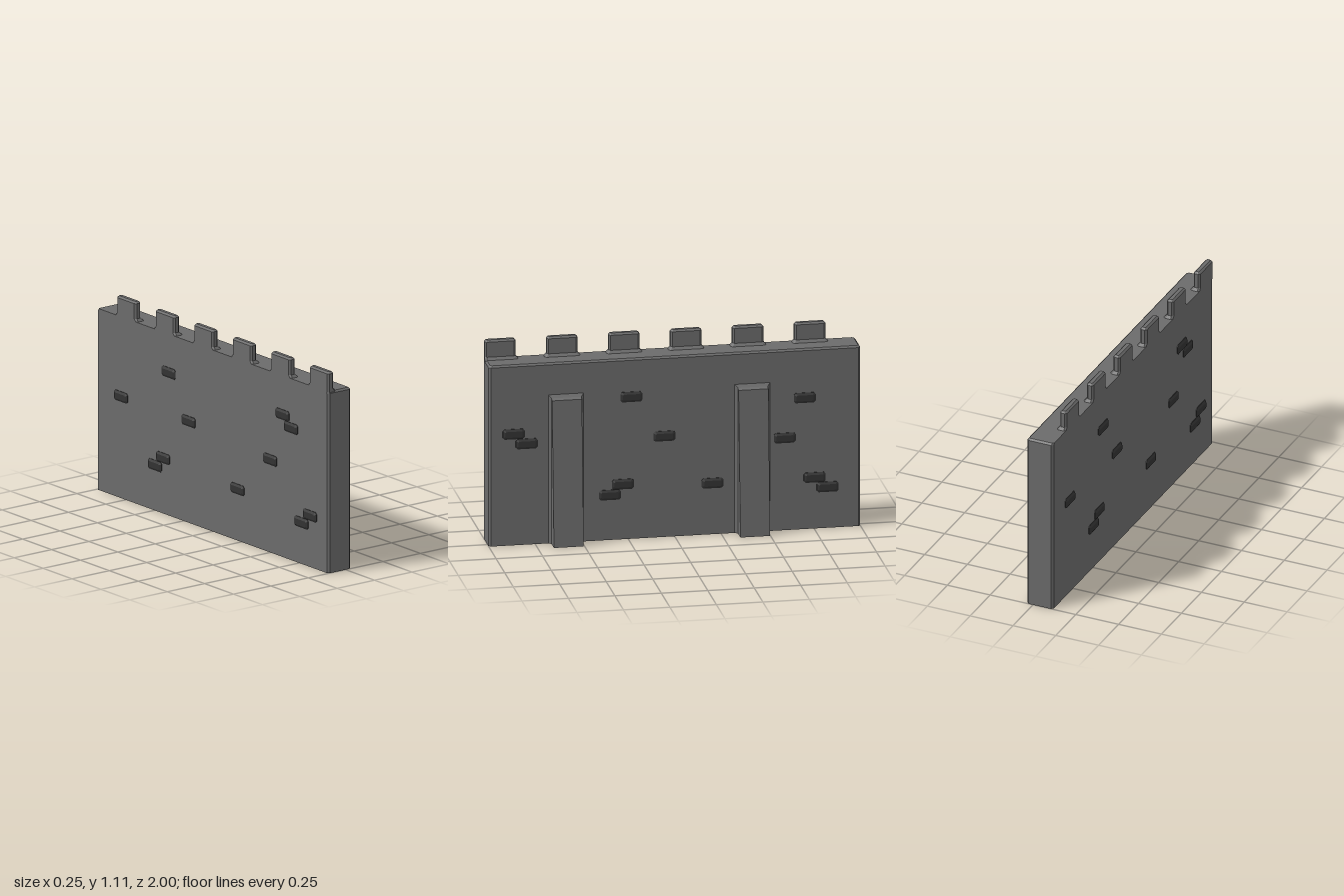
import * as THREE from 'three';

const stone = new THREE.MeshStandardMaterial({ color: 0x6b6b6b, flatShading: true, side: THREE.DoubleSide });
const darkStone = new THREE.MeshStandardMaterial({ color: 0x333333, flatShading: true, side: THREE.DoubleSide });

const BACK = -0.117, FACE = 0.037; // the two long faces of the wall

// Rectangle at height y with corners cut by c, counter-clockwise from above
function ring(x0, x1, z0, z1, y, c) {
  return [
    [x0, y, z1 - c], [x0 + c, y, z1], [x1 - c, y, z1], [x1, y, z1 - c],
    [x1, y, z0 + c], [x1 - c, y, z0], [x0 + c, y, z0], [x0, y, z0 + c],
  ];
}

// Skin stacked rings and close the top; the bottom stays open
function loft(rings) {
  const pos = [];
  const quad = (a, b, c, d) => pos.push(...a, ...b, ...c, ...a, ...c, ...d);
  const n = rings[0].length;
  for (let k = 0; k + 1 < rings.length; k++) {
    for (let i = 0; i < n; i++) {
      const j = (i + 1) % n;
      quad(rings[k][i], rings[k][j], rings[k + 1][j], rings[k + 1][i]);
    }
  }
  const top = rings[rings.length - 1];
  for (let i = 0; i < n / 2 - 1; i++) quad(top[i], top[i + 1], top[n - 2 - i], top[n - 1 - i]);
  const geo = new THREE.BufferGeometry();
  geo.setAttribute('position', new THREE.Float32BufferAttribute(pos, 3));
  geo.computeVertexNormals();
  return geo;
}

export function createModel() {
  const model = new THREE.Group();
  model.name = 'battlementWall';
  const add = (name, geo, material = stone) => {
    const mesh = new THREE.Mesh(geo, material);
    mesh.name = name;
    model.add(mesh);
    return mesh;
  };

  // Hollow wall body with bevelled edges, and the partition inside it
  add('wall', loft([
    ring(BACK, FACE, -1, 1, 0, 0.012),
    ring(BACK, FACE, -1, 1, 0.99, 0.012),
    ring(BACK, FACE - 0.01, -0.99, 0.99, 1, 0.008),
  ]));
  add('partition', new THREE.PlaneGeometry(FACE - BACK, 0.99)).position.set((BACK + FACE) / 2, 0.495, 0);

  // Merlons along the back edge, flared where they meet the walkway
  for (let i = 0; i < 6; i++) {
    const z1 = 1 - i / 3, z0 = z1 - 1 / 6, x1 = -0.077;
    add('merlon', loft([
      ring(BACK, x1 + 0.014, z0 - 0.014, i ? z1 + 0.014 : z1, 0.995, 0.01),
      ring(BACK, x1 + 0.012, z0 - 0.012, i ? z1 + 0.012 : z1, 1.001, 0.01),
      ring(BACK, x1, z0, z1, 1.015, 0.01),
      ring(BACK, x1, z0, z1, 1.098, 0.01),
      ring(BACK + 0.01, x1 - 0.01, z0 + 0.01, z1 - 0.01, 1.108, 0.004),
    ]));
  }

  // Tapering buttresses with flared sides and top
  const buttressRing = (pts) => [
    ...pts.map(([x, y, z]) => [x, y, z]),
    ...pts.map(([x, y, z]) => [x, y, -z]).reverse(),
  ];
  const buttress = loft([
    buttressRing([[FACE, 0, 0.095], [0.05, 0, 0.08], [0.122, 0, 0.08]]),
    buttressRing([[FACE, 0.824, 0.095], [0.05, 0.808, 0.08], [0.069, 0.8, 0.08]]),
  ]);
  for (const z of [0.585, -0.418]) add('buttress', buttress).position.z = z;

  // Raised bricks: [z, y] centres on each long face
  const brick = loft([
    ring(-0.028, 0.028, -0.059, 0.059, -0.003, 0.01),
    ring(-0.028, 0.028, -0.059, 0.059, 0.003, 0.01),
    ring(-0.016, 0.016, -0.046, 0.046, 0.011, 0.004),
  ]);
  const frontBricks = [
    [0.866, 0.617], [0.796, 0.56], [0.233, 0.788], [0.056, 0.56], [0.349, 0.25], [0.279, 0.306],
    [-0.204, 0.284], [-0.7, 0.729], [-0.592, 0.512], [-0.753, 0.284], [-0.823, 0.228],
  ];
  const backBricks = [
    [-0.79, 0.56], [-0.377, 0.788], [-0.205, 0.56], [-0.426, 0.306], [-0.496, 0.25], [0.217, 0.284],
    [0.5, 0.512], [0.607, 0.785], [0.68, 0.729], [0.844, 0.284], [0.77, 0.228],
  ];
  for (const [list, x, turn] of [[frontBricks, FACE, -1], [backBricks, BACK, 1]]) {
    for (const [z, y] of list) {
      const mesh = add('brick', brick, darkStone);
      mesh.position.set(x, y, z);
      mesh.rotation.z = turn * Math.PI / 2;
    }
  }
  return model;
}
